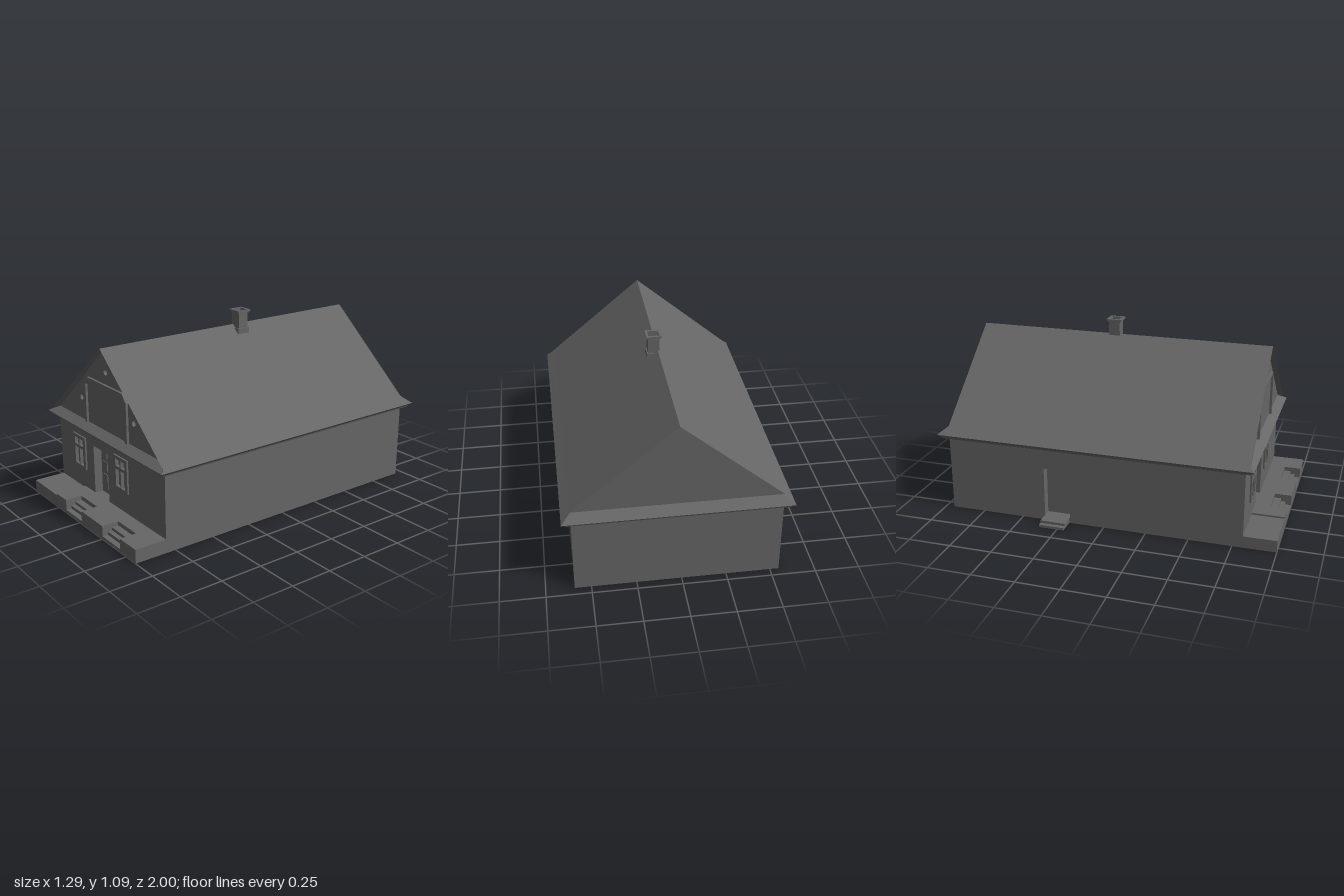
import * as THREE from 'three';

const CX = 0.021, L = -0.55, R = 0.592, F = 0.81, B = -0.95; // ridge line and wall faces
const HALF = R - CX, OUT = 0.052;
const WALL = 0.44, EAVE = 0.48, SKIRT = 0.522, RIDGE = 1.0;
const GABLE_Y = 0.514, GABLE_HALF = 0.56, GABLE_TOP = 0.994; // front gable, set under the roof

export function createModel() {
  const house = new THREE.Group();
  house.name = 'house';
  const solid = new THREE.MeshStandardMaterial({ color: 0x666666, flatShading: true });
  const thin = new THREE.MeshStandardMaterial({ color: 0x666666, flatShading: true, side: THREE.DoubleSide });

  function add(name, geometry, material = thin, parent = house) {
    const mesh = new THREE.Mesh(geometry, material);
    mesh.name = name;
    parent.add(mesh);
    return mesh;
  }
  function box(name, x0, x1, y0, y1, z0, z1, parent = house) {
    const m = add(name, new THREE.BoxGeometry(x1 - x0, y1 - y0, z1 - z0), solid, parent);
    m.position.set((x0 + x1) / 2, (y0 + y1) / 2, (z0 + z1) / 2);
  }
  // Flat polygons, each fanned from its first corner
  function sheet(name, polys, parent = house) {
    const pos = [];
    for (const p of polys)
      for (let i = 1; i < p.length - 1; i++) pos.push(...p[0], ...p[i], ...p[i + 1]);
    const g = new THREE.BufferGeometry();
    g.setAttribute('position', new THREE.Float32BufferAttribute(pos, 3));
    g.computeVertexNormals();
    add(name, g, thin, parent);
  }
  const path = (pts, Type = THREE.Path) => new Type(pts.map(p => new THREE.Vector2(...p)));
  const rect = ([x0, x1, y0, y1]) => [[x0, y0], [x1, y0], [x1, y1], [x0, y1]];
  function panel(outline, holes) {
    const s = path(outline, THREE.Shape);
    s.holes = holes;
    return s;
  }
  // Niche behind a rectangular opening: four reveals and a back
  function niche(name, [x0, x1, y0, y1], z, depth, parent = house) {
    const k = z - depth;
    sheet(name, [
      [[x0, y0, k], [x1, y0, k], [x1, y1, k], [x0, y1, k]],
      [[x0, y0, z], [x0, y0, k], [x0, y1, k], [x0, y1, z]],
      [[x1, y0, k], [x1, y0, z], [x1, y1, z], [x1, y1, k]],
      [[x0, y0, z], [x1, y0, z], [x1, y0, k], [x0, y0, k]],
      [[x0, y1, k], [x1, y1, k], [x1, y1, z], [x0, y1, z]],
    ], parent);
  }

  // Front wall with door and windows
  const door = [-0.152, 0.01, 0.08, 0.375];
  const windows = [[-0.381, -0.236, 0.195, 0.395], [0.085, 0.23, 0.205, 0.405]];
  add('frontWall', new THREE.ShapeGeometry(panel(rect([L, R, 0.07, WALL]),
    [door, ...windows].map(r => path(rect(r)))))).position.z = F;

  niche('frontDoor', door, F, 0.05);
  for (const x of [-0.133, -0.06])
    for (const [y0, y1] of [[0.11, 0.2], [0.22, 0.28], [0.3, 0.355]])
      box('doorPanel', x, x + 0.05, y0, y1, F - 0.05, F - 0.045);

  // Four-pane windows
  for (const [x0, x1, y0, y1] of windows) {
    const panes = [];
    for (const [a, b] of [[0.024, 0.069], [0.079, 0.12]])
      for (const [c, d] of [[0.016, 0.12], [0.138, 0.18]]) panes.push([x0 + a, x0 + b, y0 + c, y0 + d]);
    const frame = panel(rect([x0, x1, y0, y1]), panes.map(p => path(rect(p))));
    add('windowFrame', new THREE.ExtrudeGeometry(frame, { depth: 0.01, bevelEnabled: false }), solid).position.z = F;
    for (const p of panes) niche('windowPane', p, F + 0.01, 0.02);
  }

  // Front gable with round vents
  const vents = [[CX, 0.86], [-0.262, 0.645], [0.302, 0.645]];
  const ventR = 0.018;
  const gable = panel([[CX - GABLE_HALF, GABLE_Y], [CX + GABLE_HALF, GABLE_Y], [CX, GABLE_TOP]],
    vents.map(([x, y]) => new THREE.Path().absarc(x, y, ventR, 0, Math.PI * 2)));
  add('frontGable', new THREE.ShapeGeometry(gable, 8)).position.z = F;
  for (const [x, y] of vents) {
    const tube = add('ventReveal', new THREE.CylinderGeometry(ventR, ventR, 0.03, 16, 1, true));
    tube.rotation.x = Math.PI / 2;
    tube.position.set(x, y, F - 0.015);
    add('ventBack', new THREE.CircleGeometry(ventR, 16)).position.set(x, y, F - 0.03);
  }

  // Gable frame with clipped corners
  const outer = [[-0.208, 0.512], [-0.208, 0.745], [-0.168, 0.79], [0.21, 0.79], [0.249, 0.745], [0.249, 0.512]];
  const inner = [[0.224, 0.512], [0.224, 0.773], [-0.188, 0.773], [-0.188, 0.512]];
  add('gableFrame', new THREE.ExtrudeGeometry(path([...outer, ...inner], THREE.Shape),
    { depth: 0.014, bevelEnabled: false }), solid).position.z = F;

  // Remaining walls, open underneath
  sheet('backWall', [[[R, 0, B], [L, 0, B], [L, WALL, B], [R, WALL, B]]]);
  sheet('backGable', [[[R, SKIRT, B], [L, SKIRT, B], [CX, RIDGE, B]]]);
  sheet('leftWall', [[[R, 0, F], [R, 0, B], [R, WALL, B], [R, WALL, F]]]);
  const side = new THREE.Group(); // local x runs along world z
  side.name = 'rightSide';
  side.rotation.y = -Math.PI / 2;
  house.add(side);
  const sideDoor = [-0.36, -0.205, 0.03, 0.325];
  add('rightWall', new THREE.ShapeGeometry(panel(rect([B, F, 0, WALL]), [path(rect(sideDoor))])), thin, side).position.z = -L;
  niche('sideDoor', sideDoor, -L, 0.05, side);
  box('sideStepLower', -0.36, -0.21, 0, 0.015, -L, 0.65, side);
  box('sideStepUpper', -0.36, -0.21, 0.015, 0.03, -L, 0.625, side);

  // Moulded cornice running around the house
  const corners = (o, y) => [[L - o, y, F + o], [R + o, y, F + o], [R + o, y, B - o], [L - o, y, B - o]];
  const steps = [[0, WALL], [0.03, 0.455], [0.033, 0.463], [OUT, EAVE]];
  const bands = [];
  for (let i = 0; i < steps.length - 1; i++) {
    const lo = corners(...steps[i]), hi = corners(...steps[i + 1]);
    for (let k = 0; k < 4; k++) bands.push([lo[k], lo[(k + 1) % 4], hi[(k + 1) % 4], hi[k]]);
  }
  sheet('cornice', bands);

  // Sloped skirts under both gables
  const e = corners(OUT, EAVE), s = corners(0, SKIRT);
  sheet('gableSkirts', [
    [e[0], e[1], [CX + GABLE_HALF, GABLE_Y, F], [CX - GABLE_HALF, GABLE_Y, F]],
    [e[2], e[3], s[3], s[2]],
  ]);

  // Roof slopes, overhanging the front gable with a soffit
  const over = F + 0.03;
  for (const m of [1, -1]) {
    const p = (w, y, z) => [CX + m * w, y, z];
    const polys = [
      [p(0, RIDGE, over), p(HALF, SKIRT, over), p(HALF, SKIRT, B), p(0, RIDGE, B)],
      [p(HALF, SKIRT, B), p(HALF, SKIRT, over), p(HALF + 0.03, 0.498, over),
        p(HALF + OUT, EAVE, F + OUT), p(HALF + OUT, EAVE, B - OUT)],
      [p(0, RIDGE, over), p(0, GABLE_TOP, F), p(GABLE_HALF, GABLE_Y, F), p(HALF + 0.03, 0.498, over)],
    ];
    if (m < 0) polys.forEach(q => q.reverse().unshift(q.pop()));
    sheet(m > 0 ? 'leftRoofSlope' : 'rightRoofSlope', polys);
  }

  // Hollow chimney with flared cap, square in plan
  const flue = [[0.04, 0.95], [0.04, 0.983], [0.033, 0.983], [0.033, 1.07], [0.038, 1.072], [0.038, 1.078],
    [0.045, 1.08], [0.045, 1.09], [0.03, 1.09], [0.03, 1.03], [0, 1.03]];
  const chimney = add('chimney', new THREE.LatheGeometry(
    flue.map(([h, y]) => new THREE.Vector2(h * Math.SQRT2, y)), 4, Math.PI / 4));
  chimney.position.set(0.043, 0, -0.107);

  // Terrace shell: z,y profiles swept along x
  const stairs = [[F, 0.08], [0.9, 0.08], [0.9, 0.055], [0.94, 0.055], [0.94, 0.037],
    [0.967, 0.037], [0.967, 0.018], [1, 0.018], [1, 0]];
  const flat = h => [[F, h], [1, h], [1, 0]];
  const spans = [[L, -0.273, flat(0.07)], [-0.273, -0.161, flat(0.08)], [-0.161, 0.021, stairs],
    [0.021, 0.253, flat(0.08)], [0.253, 0.437, stairs], [0.437, R, flat(0.08)]];
  for (const [x0, x1, prof] of spans) {
    const polys = [];
    for (let i = 0; i < prof.length - 1; i++) {
      const [[za, ya], [zb, yb]] = [prof[i], prof[i + 1]];
      polys.push([[x0, ya, za], [x0, yb, zb], [x1, yb, zb], [x1, ya, za]]);
    }
    if (prof === stairs) // cheeks beside the cut-in steps
      for (const x of [x0, x1])
        for (const [z0, z1, y] of [[0.9, 0.94, 0.055], [0.94, 0.967, 0.037], [0.967, 1, 0.018]])
          polys.push([[x, y, z0], [x, y, z1], [x, 0.08, z1], [x, 0.08, z0]]);
    sheet(prof === stairs ? 'terraceSteps' : 'terrace', polys);
  }
  const end = (x, h) => [[x, 0, F], [x, 0, 1], [x, h, 1], [x, h, F]];
  sheet('terraceEnds', [end(L, 0.07), end(R, 0.08).reverse(),
    [[-0.273, 0.07, F], [-0.273, 0.07, 1], [-0.273, 0.08, 1], [-0.273, 0.08, F]]]);

  return house;
}
